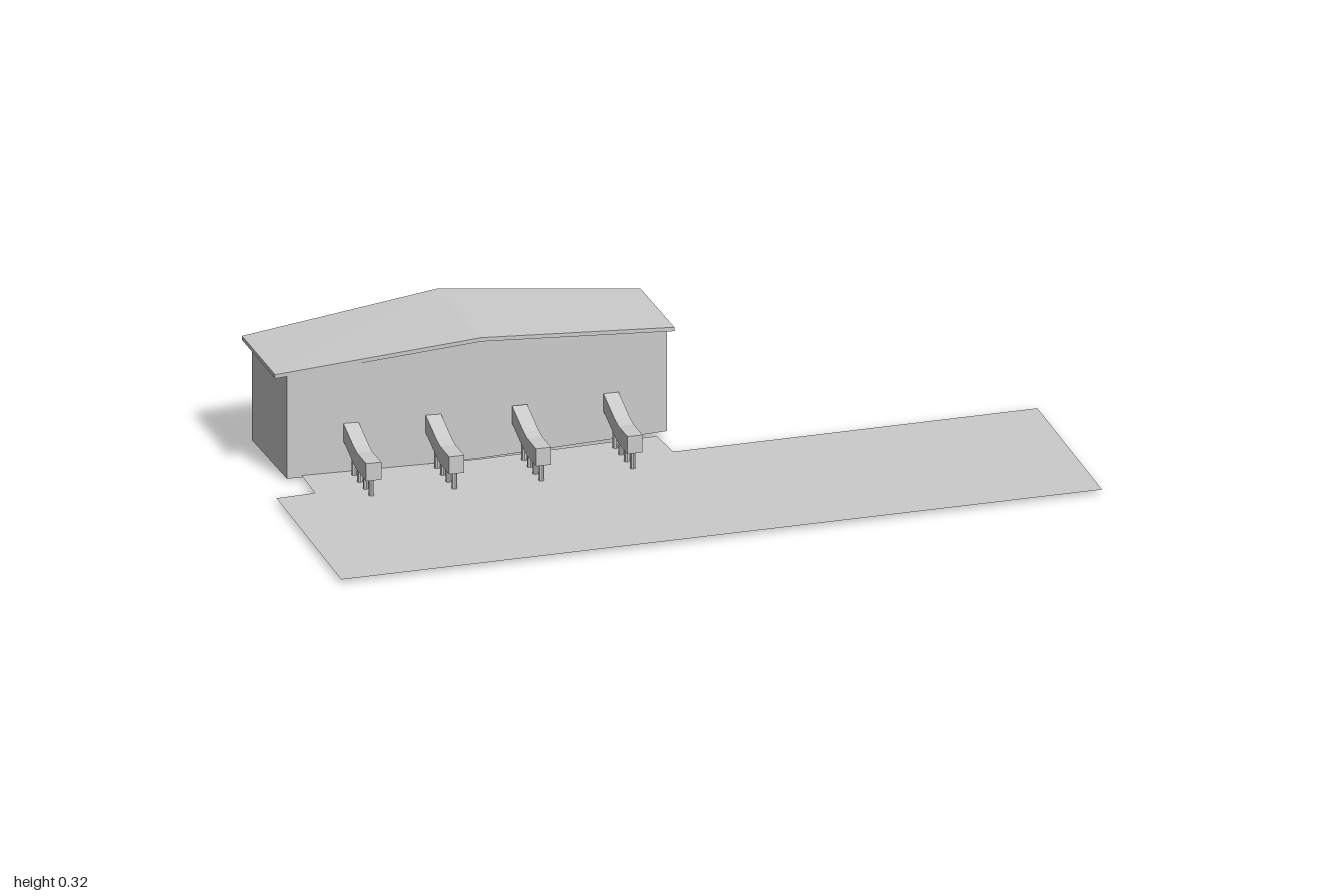
import * as THREE from 'three';

const grey = new THREE.MeshStandardMaterial({ color: 0xcccccc, flatShading: true, side: THREE.DoubleSide });

function addMesh(parent, name, geometry) {
  const mesh = new THREE.Mesh(geometry, grey);
  mesh.name = name;
  parent.add(mesh);
  return mesh;
}

// Solid between two six-corner loops, ordered front-left, front-middle,
// front-right, back-right, back-middle, back-left; caps fold along the middle.
function prism(bottom, top) {
  const pos = [];
  const quad = (a, b, c, d) => [a, b, c, a, c, d].forEach((p) => pos.push(...p));
  for (let i = 0; i < 6; i++) {
    const j = (i + 1) % 6;
    quad(bottom[i], bottom[j], top[j], top[i]);
  }
  quad(top[0], top[1], top[4], top[5]);
  quad(top[1], top[2], top[3], top[4]);
  quad(bottom[5], bottom[4], bottom[1], bottom[0]);
  quad(bottom[4], bottom[3], bottom[2], bottom[1]);
  const geometry = new THREE.BufferGeometry();
  geometry.setAttribute('position', new THREE.Float32BufferAttribute(pos, 3));
  geometry.computeVertexNormals();
  return geometry;
}

const loop = (plan, heights, lift = 0) => plan.map(([x, z], i) => [x, heights[i] + lift, z]);

export function createModel() {
  const model = new THREE.Group();
  model.name = 'loadingHall';

  // Flat yard with a tab reaching the front wall
  const yard = new THREE.Shape([
    [-1, 0], [0.73, 0.84], [1, 0.34], [0.17, -0.06], [0.215, -0.163],
    [-0.2, -0.35], [-0.58, -0.567], [-0.64, -0.46], [-0.73, -0.5],
  ].map(([x, z]) => new THREE.Vector2(x, -z)));
  const yardGeometry = new THREE.ShapeGeometry(yard);
  yardGeometry.rotateX(-Math.PI / 2);
  addMesh(model, 'yard', yardGeometry).position.y = 0.01;

  // Hall walls, bent slightly at the middle
  const wallPlan = [[-0.612, -0.585], [-0.2, -0.35], [0.24, -0.153], [0.362, -0.385], [-0.055, -0.635], [-0.495, -0.825]];
  addMesh(model, 'walls', prism(
    loop(wallPlan, [0.005, 0.012, 0.019, 0.018, 0.012, 0.007]),
    loop(wallPlan, [0.268, 0.314, 0.278, 0.274, 0.314, 0.265])));

  // Thin gabled roof with a small overhang
  const roofPlan = [[-0.637, -0.6], [-0.2, -0.34], [0.252, -0.14], [0.382, -0.39], [-0.045, -0.65], [-0.505, -0.85]];
  const roofHeights = [0.275, 0.325, 0.286, 0.282, 0.325, 0.271];
  addMesh(model, 'roof', prism(loop(roofPlan, roofHeights, -0.01), loop(roofPlan, roofHeights)));

  // Conveyors: level at the outer end, rising to the wall, on a row of legs
  const width = 0.038;
  const profile = [[0, 0.1], [0.075, 0.1], [0.105, 0.106], [0.2, 0.137]];
  const depth = 0.045;
  const side = new THREE.Shape([
    ...profile.map(([t, y]) => new THREE.Vector2(t, y - depth)),
    ...profile.map(([t, y]) => new THREE.Vector2(t, y)).reverse(),
  ]);
  const beltGeometry = new THREE.ExtrudeGeometry(side, { depth: width, bevelEnabled: false });
  beltGeometry.translate(0, 0, -width / 2);
  const legs = [[0.02, 0.06], [0.068, 0.06], [0.116, 0.068], [0.164, 0.084]];

  [[0.015, -0.032], [-0.2, -0.126], [-0.387, -0.233], [-0.562, -0.338]].forEach(([x, z]) => {
    const conveyor = new THREE.Group();
    conveyor.name = 'conveyor';
    conveyor.position.set(x, 0, z);
    conveyor.rotation.y = 1.09;
    addMesh(conveyor, 'conveyorBed', beltGeometry);
    for (const [t, height] of legs) {
      addMesh(conveyor, 'conveyorLeg', new THREE.CylinderGeometry(0.007, 0.007, height, 8))
        .position.set(t, height / 2, 0);
    }
    model.add(conveyor);
  });

  return model;
}
